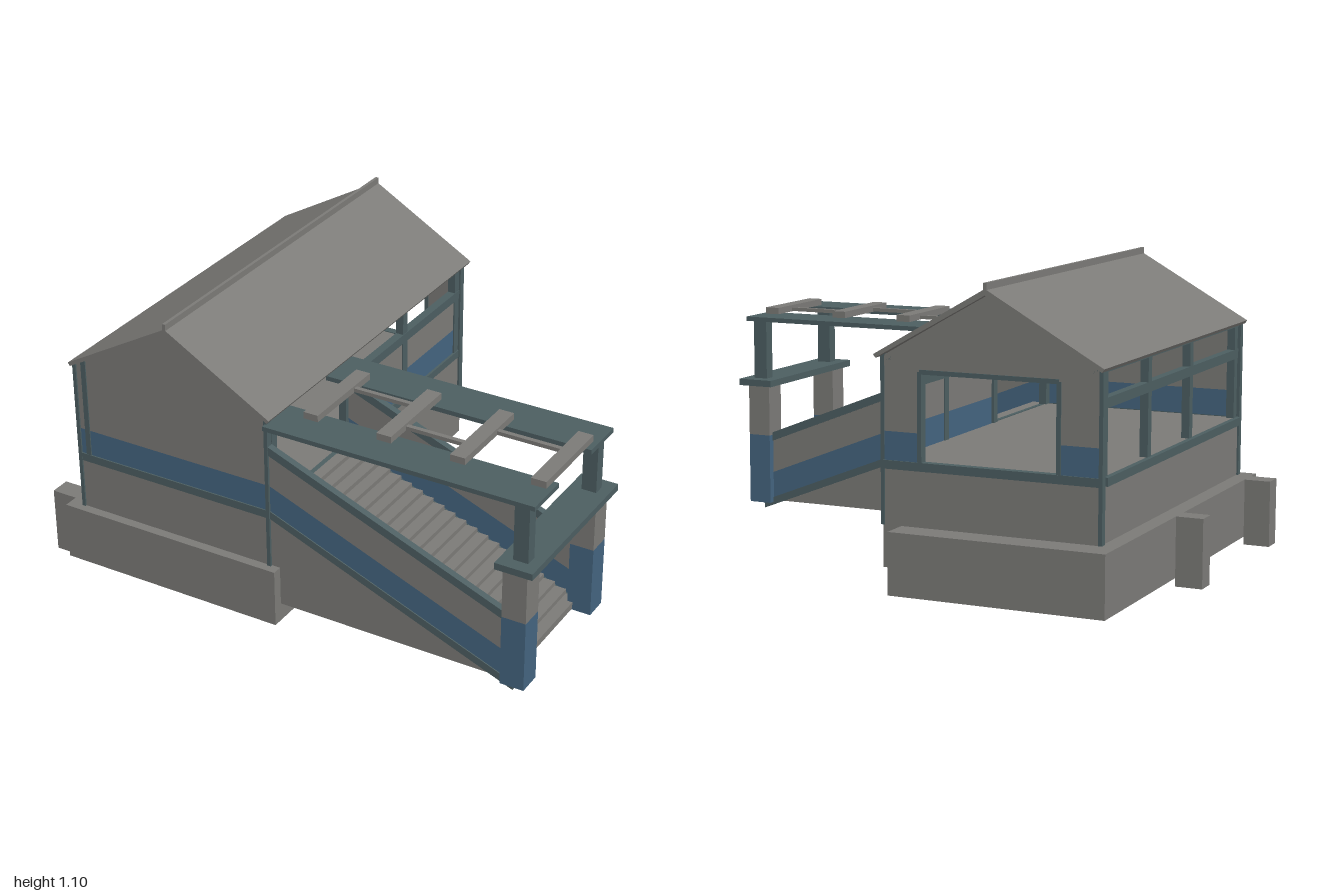
import * as THREE from 'three';

const mat = (name, hex) => {
  const m = new THREE.MeshStandardMaterial({ color: hex, side: THREE.DoubleSide });
  m.name = name;
  return m;
};

export function createModel() {
  const root = new THREE.Group();
  root.name = 'coveredStairBuilding';
  const concrete = mat('concreteGrey', 0x7b7a77);
  const steel = mat('steelTeal', 0x4c5e61);
  const blue = mat('paintBlue', 0x44647f);

  const add = (name, geometry, material) => {
    const mesh = new THREE.Mesh(geometry, material);
    mesh.name = name;
    root.add(mesh);
    return mesh;
  };
  // Box given by its limits on each axis
  const box = (name, m, x0, x1, y0, y1, z0, z1) => {
    const g = new THREE.BoxGeometry(x1 - x0, y1 - y0, z1 - z0);
    g.translate((x0 + x1) / 2, (y0 + y1) / 2, (z0 + z1) / 2);
    return add(name, g, m);
  };
  // Outline in the xy plane, extruded from z0 to z1
  const slab = (name, m, pts, z0, z1, hole) => {
    const s = new THREE.Shape(pts.map(p => new THREE.Vector2(...p)));
    if (hole) s.holes.push(new THREE.Path(hole.map(p => new THREE.Vector2(...p))));
    const g = new THREE.ExtrudeGeometry(s, { depth: z1 - z0, bevelEnabled: false });
    g.translate(0, 0, z0);
    return add(name, g, m);
  };

  const L = -0.84, R = -0.04, MID = -0.435;
  const FLOOR = 0.475, BAND = 0.575, EAVE = 0.835;

  // Foundation: three beams and two outer piers
  box('frontFoundation', concrete, -0.9, 0, 0.03, 0.25, 0.61, 0.76);
  box('backFoundation', concrete, -0.9, -0.11, 0.03, 0.25, -0.775, -0.655);
  box('leftFoundation', concrete, -0.9, -0.78, 0.03, 0.25, -0.655, 0.61);
  for (const z of [-0.08, 0.665]) box('foundationPier', concrete, -1, -0.9, 0, 0.25, z - 0.038, z + 0.038);

  // Lower walls and floor
  box('lowerFrontWall', concrete, L, R, 0.24, 0.445, 0.70, 0.725);
  box('lowerBackWall', concrete, L, R, 0.1, 0.445, -0.67, -0.645);
  box('lowerRightWall', concrete, L, L + 0.025, 0.24, 0.445, -0.645, 0.70);
  box('lowerLeftWall', concrete, R - 0.025, R, 0.1, 0.445, -0.645, 0.70);
  box('floor', concrete, L + 0.01, R - 0.01, 0.45, 0.472, -0.65, 0.71);

  // Floor-level trim around the building
  box('frontTrim', steel, L - 0.004, R + 0.004, 0.445, FLOOR, 0.70, 0.73);
  box('backTrim', steel, L - 0.004, R + 0.004, 0.445, FLOOR, -0.675, -0.645);
  for (const x of [L, R]) box('sideTrim', steel, x - 0.015, x + 0.004, 0.445, FLOOR, -0.645, 0.70);

  // Front gable wall with painted band
  const gable = y => [[L + 0.005, y], [R - 0.005, y], [R - 0.005, EAVE], [MID, 1.06], [L + 0.005, EAVE]];
  box('frontBand', blue, L + 0.005, R - 0.005, FLOOR, BAND, 0.70, 0.725);
  slab('frontGable', concrete, gable(BAND), 0.70, 0.725);
  box('frontCoverStrip', steel, -0.812, -0.792, FLOOR, 0.86, 0.725, 0.729);

  // Back gable wall with a wide opening
  const OL = -0.69, OR = -0.18, OT = 0.785;
  slab('backGable', concrete, [
    [L + 0.005, BAND], [OL, BAND], [OL, OT], [OR, OT], [OR, BAND], [R - 0.005, BAND],
    [R - 0.005, EAVE], [MID, 1.06], [L + 0.005, EAVE]], -0.67, -0.645);
  box('backBand', blue, L + 0.005, OL, FLOOR, BAND, -0.67, -0.645);
  box('backBand', blue, OR, R - 0.005, FLOOR, BAND, -0.67, -0.645);
  for (const x of [OL, OR]) box('openingFrame', steel, x - 0.008, x + 0.008, FLOOR, OT, -0.674, -0.641);
  box('openingFrame', steel, OL, OR, OT - 0.008, OT + 0.008, -0.674, -0.641);

  // Parapet panel on the stair side
  box('parapetBand', blue, R - 0.025, R - 0.005, FLOOR, BAND, -0.645, 0.16);
  box('parapetPanel', concrete, R - 0.025, R - 0.005, BAND, 0.70, -0.645, 0.16);

  // Handrails, wall plates and posts along both open sides
  box('handrail', steel, R - 0.03, R + 0.002, 0.70, 0.735, -0.65, 0.17);
  box('handrail', steel, L, L + 0.03, 0.70, 0.735, -0.65, 0.70);
  for (const [a, b] of [[L, L + 0.03], [R - 0.03, R]]) {
    box('wallPlate', steel, a, b, 0.82, 0.84, -0.67, 0.72);
    for (const z of [-0.63, -0.23, 0.185, 0.675]) box('sidePost', steel, a, b, FLOOR, 0.825, z - 0.016, z + 0.016);
  }
  for (const x of [L, R]) for (const z of [-0.66, 0.718])
    box('cornerPost', steel, x - 0.007, x + 0.007, 0.25, 0.84, z - 0.013, z + 0.013);

  // Pitched roof and ridge cap
  slab('roof', concrete, [
    [-0.86, 0.84], [-0.852, 0.828], [MID, 1.058], [-0.028, 0.828], [-0.02, 0.84], [MID, 1.08]], -0.70, 0.738);
  box('ridgeCap', concrete, MID - 0.006, MID + 0.006, 1.07, 1.1, -0.70, 0.738);

  // Stairs
  const SLOPE = 0.395, X0 = R, X1 = 0.9, STEPS = 21;
  const run = (X1 - X0) / STEPS, rise = 0.37 / STEPS;
  for (let i = 0; i < STEPS; i++) {
    const x = X0 + i * run, y = FLOOR - i * rise;
    box('step', concrete, x, x + run, y - rise - 0.008, y, 0.19, 0.70);
  }

  // Sloping stair walls, mirrored on both sides of the flight
  const strip = (top, bottom, x1) => [
    [X0, bottom], [x1, bottom - SLOPE * (x1 - X0)], [x1, top - SLOPE * (x1 - X0)], [X0, top]];
  for (const s of [-1, 1]) {
    const at = (name, m, pts, halfWidth) => {
      const z = 0.445 + s * 0.27;
      slab(name, m, pts, z - halfWidth, z + halfWidth);
    };
    at('stairBase', concrete, [[X0, 0.1], [0.833, 0.1], [X0, 0.445]], 0.007);
    at('stairTrim', steel, strip(FLOOR, 0.445, 0.92), 0.011);
    at('stairBand', blue, strip(BAND, FLOOR, 0.89), 0.007);
    at('stairPanel', concrete, strip(0.70, BAND, 0.89), 0.007);
    at('stairHandrail', steel, strip(0.733, 0.70, 0.89), 0.013);

    // Entrance pillar, upper post and canopy plank
    const z = 0.443 + s * 0.257;
    box('pillarBase', blue, 0.88, 0.97, 0.092, 0.36, z - 0.045, z + 0.045);
    box('pillar', concrete, 0.88, 0.97, 0.36, 0.556, z - 0.045, z + 0.045);
    const p = 0.445 + s * 0.255;
    box('upperPost', steel, 0.905, 0.96, 0.578, 0.805, p - 0.022, p + 0.022);
    const c = 0.456 + s * 0.207;
    box('canopyPlank', steel, R, 0.99, 0.803, 0.82, c - 0.086, c + 0.086);
  }
  box('entranceBeam', steel, 0.86, 1, 0.555, 0.58, 0.12, 0.77);

  // Canopy cross bars joined by thin links
  const bars = [0.08, 0.365, 0.645, 0.942], links = [0.38, 0.52, 0.395];
  bars.forEach((x, i) => {
    box('canopyBar', concrete, x - 0.028, x + 0.028, 0.82, 0.845, 0.28, 0.63);
    if (i < 3) box('canopyLink', concrete, x, bars[i + 1], 0.822, 0.836, links[i] - 0.009, links[i] + 0.009);
  });

  return root;
}
